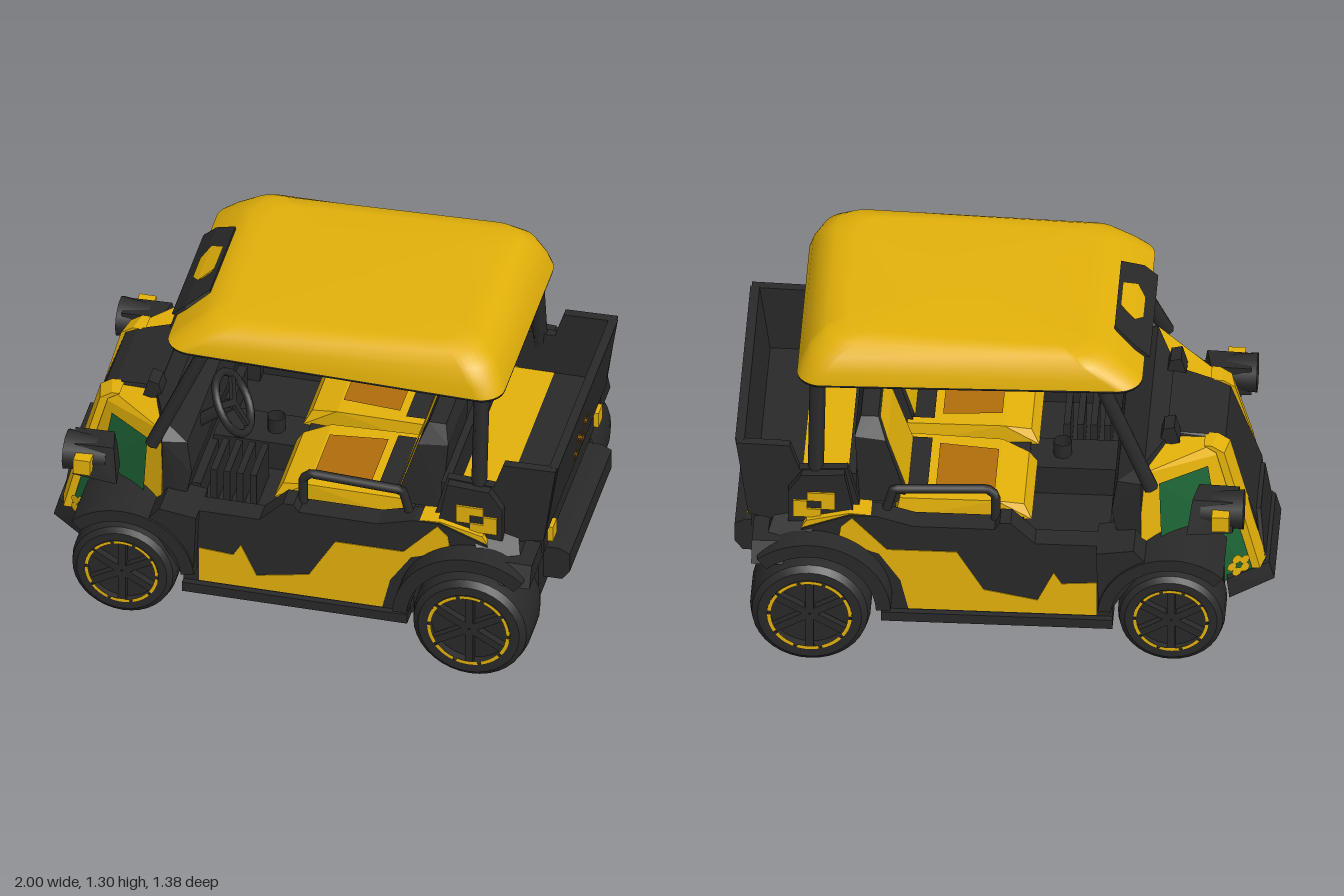
import * as THREE from 'three';
import { toCreasedNormals } from 'three/addons/utils/BufferGeometryUtils.js';
import { ConvexGeometry } from 'three/addons/geometries/ConvexGeometry.js';

const paint = (name, color) => new THREE.MeshStandardMaterial({ name, color, side: THREE.DoubleSide });

export function createModel() {
  const root = new THREE.Group();
  root.name = 'openCart';
  const dark = paint('charcoal', 0x292929), yellow = paint('yellow', 0xe3b10a);
  const green = paint('green', 0x1d6435), amber = paint('amber', 0xb06c0a);

  const V = (p) => new THREE.Vector3(...p);
  const add = (name, geo, mat, parent = root) => {
    const m = new THREE.Mesh(geo, mat);
    m.name = name;
    parent.add(m);
    return m;
  };
  const box = (name, mat, x0, x1, y0, y1, z0, z1) => {
    const m = add(name, new THREE.BoxGeometry(x1 - x0, y1 - y0, Math.abs(z1 - z0)), mat);
    m.position.set((x0 + x1) / 2, (y0 + y1) / 2, (z0 + z1) / 2);
    return m;
  };
  const hull = (name, mat, pts) => add(name, new ConvexGeometry(pts.map(V)), mat);
  // hull symmetric about z = 0
  const symHull = (name, mat, pts) => hull(name, mat, pts.flatMap(([x, y, z]) => [[x, y, z], [x, y, -z]]));
  const quad = (name, mat, a, b, c, d) => {
    const g = new THREE.BufferGeometry().setFromPoints([a, b, c, a, c, d].map(V));
    g.computeVertexNormals();
    return add(name, g, mat);
  };
  // outline in x,y pushed from z0 to z1
  const slab = (name, mat, pts, z0, z1) => {
    const s = new THREE.Shape(pts.map((p) => new THREE.Vector2(...p)));
    const m = add(name, new THREE.ExtrudeGeometry(s, { depth: Math.abs(z1 - z0), bevelEnabled: false }), mat);
    m.position.z = Math.min(z0, z1);
    return m;
  };
  const tube = (name, mat, pts, r, sides = 8) => {
    const path = new THREE.CurvePath();
    for (let i = 1; i < pts.length; i++) path.add(new THREE.LineCurve3(V(pts[i - 1]), V(pts[i])));
    return add(name, new THREE.TubeGeometry(path, (pts.length - 1) * 10, r, sides), mat);
  };
  const both = (fn) => [1, -1].forEach(fn);

  // wheels
  const wheel = (name, x, y, z, r, w, s) => {
    const g = new THREE.Group();
    g.name = name;
    const ri = r * 0.7, h = w / 2;
    const prof = [[ri * 0.95, -h], [r * 0.86, -h], [r * 0.96, -h * 0.85], [r, -h * 0.5], [r, h * 0.5],
      [r * 0.96, h * 0.85], [r * 0.86, h], [ri, h], [ri * 0.95, h * 0.55]].map((p) => new THREE.Vector2(...p));
    add('tyre', toCreasedNormals(new THREE.LatheGeometry(prof, 36), 0.6), dark, g).rotation.x = Math.PI / 2;
    add('rimDish', new THREE.CylinderGeometry(ri, ri, w * 0.7, 28), dark, g).rotation.x = Math.PI / 2;
    for (let i = 0; i < 10; i++) {
      const arc = new THREE.RingGeometry(ri * 0.91, ri, 5, 1, i * Math.PI / 5, Math.PI / 5 * 0.87);
      add('rimDash', arc, yellow, g).position.z = h + 0.004;
    }
    add('hub', new THREE.CylinderGeometry(0.035, 0.04, w * 0.9, 12), dark, g).rotation.x = Math.PI / 2;
    for (let i = 0; i < 6; i++) {
      const sp = add('spoke', new THREE.BoxGeometry(0.03, ri * 0.95, 0.03), dark, g), a = i * Math.PI / 3;
      sp.position.set(-Math.sin(a) * ri * 0.5, Math.cos(a) * ri * 0.5, h * 0.85);
      sp.rotation.z = a;
    }
    g.position.set(x, y, z * s);
    if (s < 0) g.rotation.y = Math.PI;
    root.add(g);
  };
  // fender arches
  const arch = (name, cx, cy, r0, r1, z0, z1, a0, a1) => {
    const s = new THREE.Shape();
    s.absarc(cx, cy, r1, a0, a1, false);
    s.absarc(cx, cy, r0, a1, a0, true);
    const g = new THREE.ExtrudeGeometry(s, { depth: Math.abs(z1 - z0), bevelEnabled: false, curveSegments: 14 });
    add(name, toCreasedNormals(g, 0.6), dark).position.z = Math.min(z0, z1);
  };
  both((s) => {
    wheel('frontWheel', -0.64, 0.217, 0.52, 0.2, 0.21, s);
    wheel('rearWheel', 0.7, 0.228, 0.555, 0.225, 0.265, s);
    arch('frontFender', -0.64, 0.215, 0.225, 0.275, s * 0.36, s * 0.62, 0.1, 2.35);
    arch('rearFender', 0.7, 0.225, 0.245, 0.3, s * 0.4, s * 0.655, 0.85, 3.1);
  });
  [-0.64, 0.7].forEach((x) => box('axle', dark, x - 0.04, x + 0.04, 0.18, 0.26, -0.45, 0.45));

  // chassis and floor
  box('chassis', dark, -0.82, 0.86, 0.13, 0.3, -0.36, 0.36);
  box('floorPan', dark, -0.42, 0.45, 0.14, 0.38, -0.52, 0.52);
  box('rearBody', dark, 0.42, 0.9, 0.2, 0.53, -0.41, 0.41);
  box('frontBody', dark, -0.8, -0.4, 0.2, 0.48, -0.37, 0.37);

  // side panels with painted swoosh
  const sideLine = [[-0.42, 0.15], [0.44, 0.15], [0.42, 0.3], [0.5, 0.46], [0.74, 0.49], [0.74, 0.53], [0.56, 0.6],
    [0.46, 0.6], [0.32, 0.56], [0.02, 0.56], [0, 0.59], [-0.04, 0.59], [-0.13, 0.5], [-0.42, 0.5]];
  const swoosh = [[-0.36, 0.18], [0.34, 0.18], [0.37, 0.31], [0.45, 0.43], [0.6, 0.48], [0.59, 0.55], [0.55, 0.59],
    [0.42, 0.45], [0.16, 0.45], [0.06, 0.28], [-0.14, 0.24], [-0.2, 0.37], [-0.23, 0.32], [-0.36, 0.33]];
  both((s) => {
    slab('sidePanel', dark, sideLine, s * 0.47, s * 0.56);
    slab('sideSwoosh', yellow, swoosh, s * 0.56, s * 0.563);
    box('sill', dark, -0.42, 0.44, 0.135, 0.175, s * 0.46, s * 0.585);
    slab('rearShoulder', yellow, [[0.48, 0.6], [0.56, 0.605], [0.72, 0.565], [0.74, 0.53], [0.62, 0.51]], s * 0.46, s * 0.553);
    hull('shoulderTail', dark, [[0.69, 0.45, s * 0.4], [0.69, 0.575, s * 0.5], [0.69, 0.54, s * 0.556], [0.73, 0.48, s * 0.62],
      [0.88, 0.46, s * 0.6], [0.84, 0.55, s * 0.48], [0.88, 0.45, s * 0.4]]);
    slab('frontSideBlock', dark, [[-0.55, 0.46], [-0.42, 0.25], [-0.37, 0.25], [-0.36, 0.5], [-0.5, 0.52]], s * 0.42, s * 0.61);
  });

  // nose
  symHull('noseShell', yellow, [[-0.86, 0.42, 0.25], [-0.8, 0.7, 0.23], [-0.76, 0.735, 0.23], [-0.52, 0.765, 0.46], [-0.52, 0.43, 0.5]]);
  symHull('lowerNose', green, [[-0.95, 0.15, 0.24], [-0.88, 0.44, 0.24], [-0.76, 0.44, 0.36], [-0.8, 0.18, 0.33]]);
  symHull('grille', dark, [[-0.96, 0.14, 0.19], [-0.93, 0.38, 0.19], [-0.89, 0.46, 0.19], [-0.815, 0.72, 0.165],
    [-0.77, 0.742, 0.165], [-0.6, 0.775, 0.2], [-0.6, 0.4, 0.2], [-0.8, 0.14, 0.2]]);
  symHull('frontBumper', dark, [[-1, 0.115, 0.21], [-0.98, 0.19, 0.21], [-0.84, 0.115, 0.34], [-0.83, 0.2, 0.34]]);
  symHull('bumperLip', dark, [[-0.97, 0.15, 0.22], [-0.945, 0.385, 0.14], [-0.9, 0.385, 0.14], [-0.9, 0.15, 0.23]]);
  both((s) => {
    const cheek = [[-0.845, 0.47, 0.275], [-0.8, 0.7, 0.235], [-0.52, 0.755, 0.485], [-0.52, 0.47, 0.51]];
    const at = (u, v) => cheek[0].map((_, i) => (
      (1 - v) * ((1 - u) * cheek[0][i] + u * cheek[3][i]) + v * ((1 - u) * cheek[1][i] + u * cheek[2][i])) * (i === 2 ? s : 1)
      + (i === 2 ? s * 0.015 : 0));
    quad('greenCheek', green, at(0.16, 0.06), at(0.16, 0.92), at(0.77, 0.9), at(0.77, 0.06));
    // raised yellow frame around the grille
    const bar = (name, pts) => hull(name, yellow, pts.flatMap(([x, y, z0, z1]) => [[x - 0.018, y, s * z0], [x + 0.03, y, s * z0],
      [x, y, s * z1], [x + 0.03, y, s * z1]]));
    bar('lowerNoseBar', [[-0.95, 0.2, 0.19, 0.265], [-0.885, 0.46, 0.18, 0.265]]);
    bar('noseBar', [[-0.885, 0.46, 0.18, 0.265], [-0.815, 0.715, 0.16, 0.245]]);
    bar('hoodBar', [[-0.815, 0.715, 0.16, 0.245], [-0.77, 0.745, 0.16, 0.245]]);
    // blossom spots on the lower nose
    for (let i = 0; i < 5; i++) {
      const a = i * Math.PI * 0.4;
      const d = add('petal', new THREE.CircleGeometry(0.02, 8), yellow);
      d.position.set(-0.875 + Math.cos(a) * 0.026, 0.25 + Math.sin(a) * 0.03, s * (0.315 + Math.cos(a) * 0.015));
      d.rotation.y = s * -0.53;
    }
    // headlights
    const lamp = add('headlight', new THREE.CylinderGeometry(0.078, 0.062, 0.16, 10), dark);
    lamp.position.set(-0.82, 0.59, s * 0.42);
    lamp.rotation.z = Math.PI / 2;
    hull('headlightPod', dark, [[-0.88, 0.53, 0.49], [-0.88, 0.65, 0.46], [-0.73, 0.655, 0.46], [-0.71, 0.52, 0.5]]
      .flatMap(([x, y, z]) => [[x, y, s * 0.36], [x + 0.02, y, s * z]]));
    box('turnLamp', yellow, -0.85, -0.785, 0.56, 0.625, s * 0.45, s * 0.525);
  });

  // dashboard and steering
  symHull('dashboard', dark, [[-0.62, 0.765, 0.18], [-0.53, 0.79, 0.42], [-0.43, 0.73, 0.46], [-0.41, 0.6, 0.47],
    [-0.44, 0.45, 0.47], [-0.52, 0.45, 0.47], [-0.52, 0.74, 0.49]]);
  both((s) => hull('cowlPod', dark, [[-0.65, 0.76], [-0.63, 0.83], [-0.59, 0.82], [-0.57, 0.74]]
    .flatMap(([x, y]) => [[x, y, s * 0.17], [x, y, s * 0.25]])));
  tube('steeringColumn', dark, [[-0.46, 0.66, 0.25], [-0.31, 0.78, 0.25]], 0.025);
  const steer = new THREE.Group();
  steer.name = 'steeringWheel';
  add('steeringRim', new THREE.TorusGeometry(0.12, 0.016, 8, 28), dark, steer);
  for (let i = 0; i < 3; i++) {
    const b = add('steeringSpoke', new THREE.BoxGeometry(0.025, 0.12, 0.015), dark, steer), a = i * Math.PI * 2 / 3 + Math.PI;
    b.position.set(-Math.sin(a) * 0.06, Math.cos(a) * 0.06, 0);
    b.rotation.z = a;
  }
  steer.position.set(-0.305, 0.785, 0.25);
  steer.rotation.set(0, Math.PI / 2, 0);
  steer.rotateX(-0.53);
  root.add(steer);
  box('console', dark, -0.42, -0.05, 0.36, 0.5, -0.09, 0.09);
  tube('shifter', dark, [[-0.2, 0.48, 0], [-0.2, 0.56, 0]], 0.035);
  for (let i = 0; i < 4; i++) box('pedal', dark, -0.37 + i * 0.05, -0.345 + i * 0.05, 0.38, 0.53, 0.14, 0.34);

  // seats and rails
  box('seatBase', dark, -0.08, 0.5, 0.3, 0.51, -0.47, 0.47);
  both((s) => {
    const at = (pts) => pts.flatMap(([x, y, h]) => [[x, y, s * 0.23 - h], [x, y, s * 0.23 + h]]);
    const plate = (name, mat, [xa, ya, ha], [xb, yb, hb]) => quad(name, mat, [xa, ya, s * 0.23 - ha],
      [xa, ya, s * 0.23 + ha], [xb, yb, s * 0.23 + hb], [xb, yb, s * 0.23 - hb]);
    hull('seatCushion', yellow, at([[-0.11, 0.5, 0.18], [-0.08, 0.555, 0.16], [0.02, 0.587, 0.19], [0.38, 0.593, 0.2], [0.4, 0.5, 0.21]]));
    plate('cushionInlay', amber, [0.03, 0.593, 0.12], [0.25, 0.596, 0.14]);
    plate('cushionHem', dark, [0.28, 0.597, 0.17], [0.36, 0.598, 0.17]);
    hull('seatBack', dark, at([[0.35, 0.56, 0.18], [0.53, 0.56, 0.18], [0.435, 0.83, 0.165], [0.465, 0.9, 0.11],
      [0.53, 0.9, 0.11], [0.55, 0.84, 0.16]]));
    plate('seatBackPad', yellow, [0.352, 0.6, 0.165], [0.428, 0.83, 0.155]);
    plate('seatBackPadTop', yellow, [0.428, 0.83, 0.155], [0.458, 0.898, 0.105]);
    tube('armRail', dark, [[0.02, 0.53, s * 0.49], [0.02, 0.67, s * 0.49], [0.05, 0.695, s * 0.49], [0.4, 0.68, s * 0.49], [0.43, 0.57, s * 0.49]], 0.018);
  });

  // cargo box
  both((s) => {
    slab('cargoSide', dark, [[0.52, 0.58], [0.57, 0.77], [0.75, 0.76], [0.785, 0.865], [0.985, 0.87], [0.94, 0.545], [0.74, 0.5]], s * 0.46, s * 0.495);
    slab('cargoShoulder', dark, [[0.54, 0.56], [0.58, 0.765], [0.74, 0.755], [0.79, 0.68], [0.79, 0.54]], s * 0.49, s * 0.53);
    // checks on the side
    [[0, 1], [1, 0], [1, 2], [2, 1], [2, 0], [0, 2]].forEach(([c, r]) => {
      const x = 0.615 + c * 0.052, y = 0.57 + r * 0.037;
      box('sideCheck', yellow, x, x + 0.052, y, y + 0.037, s * 0.53, s * 0.538);
    });
    box('tailLamp', yellow, 0.925, 0.95, 0.465, 0.53, s * 0.36 - 0.03, s * 0.36 + 0.03);
  });
  symHull('tailgate', dark, [[0.91, 0.545, 0.47], [0.94, 0.545, 0.47], [0.955, 0.87, 0.47], [0.99, 0.87, 0.47]]);
  box('cargoFloor', dark, 0.75, 0.93, 0.56, 0.59, -0.46, 0.46);
  box('cargoMat', yellow, 0.55, 0.75, 0.56, 0.59, -0.46, 0.46);
  box('cargoBulkhead', dark, 0.54, 0.57, 0.5, 0.72, -0.46, 0.46);
  // checks on the tailgate
  for (let r = 0; r < 4; r++) for (let c = 0; c < 4; c++) {
    if ((r + c) % 2) continue;
    const y = 0.585 + r * 0.042, z = -0.1 + c * 0.052, x = (h) => 0.944 + (h - 0.545) * 0.154;
    quad('tailCheck', amber, [x(y), y, z], [x(y), y, z + 0.052], [x(y + 0.042), y + 0.042, z + 0.052], [x(y + 0.042), y + 0.042, z]);
  }

  // rear end
  box('rearDeck', dark, 0.8, 0.93, 0.45, 0.53, -0.45, 0.45);
  symHull('rearCrossMember', dark, [[0.8, 0.42, 0.64], [0.92, 0.42, 0.64], [0.8, 0.5, 0.6], [0.92, 0.5, 0.6]]);
  symHull('rearBumper', dark, [[0.86, 0.25, 0.33], [0.97, 0.25, 0.33], [1, 0.29, 0.33], [1, 0.37, 0.33], [0.96, 0.39, 0.33], [0.86, 0.39, 0.33]]);

  // roof posts and frame
  const post = (name, a, b, r) => tube(name, dark, [a, b], r, 6);
  both((s) => {
    post('frontPost', [-0.56, 0.72, s * 0.485], [-0.36, 1.17, s * 0.42], 0.028);
    post('rearPost', [0.69, 0.7, s * 0.485], [0.685, 1.16, s * 0.415], 0.03);
    post('roofRail', [-0.38, 1.165, s * 0.42], [0.68, 1.16, s * 0.42], 0.02);
  });
  post('frontRail', [-0.38, 1.165, -0.42], [-0.38, 1.165, 0.42], 0.022);
  post('rearRail', [0.69, 1.125, -0.415], [0.69, 1.125, 0.415], 0.022);

  // roof: stacked rounded rectangles [xFront, xRear, halfWidth, corner, yFront, yRear]
  const stack = (name, mat, rings, cap) => {
    const N = 40, pos = [], idx = [];
    rings.forEach(([x0, x1, w, c, yf, yr]) => {
      for (let i = 0; i < N; i++) {
        const q = Math.floor(i / 10), a = (q + (i % 10) / 9) * Math.PI / 2;
        const cx = q === 0 || q === 3 ? x1 - c : x0 + c, cz = q < 2 ? w - c : c - w;
        const x = cx + Math.cos(a) * c, z = cz + Math.sin(a) * c;
        pos.push(x, yf + (yr - yf) * (x - x0) / (x1 - x0), z);
      }
    });
    for (let k = 0; k + 1 < rings.length; k++) for (let i = 0; i < N; i++) {
      const a = k * N + i, b = k * N + (i + 1) % N;
      idx.push(a, a + N, b, b, a + N, b + N);
    }
    if (cap) {
      const [x0, x1, , , yf, yr] = rings.at(-1), o = (rings.length - 1) * N;
      pos.push((x0 + x1) / 2, (yf + yr) / 2 + 0.003, 0);
      for (let i = 0; i < N; i++) idx.push(o + i, rings.length * N, o + (i + 1) % N);
    }
    const g = new THREE.BufferGeometry();
    g.setAttribute('position', new THREE.Float32BufferAttribute(pos, 3));
    g.setIndex(idx);
    g.computeVertexNormals();
    return add(name, g, mat);
  };
  stack('roofShell', yellow, [[-0.52, 0.765, 0.468, 0.09, 1.155, 1.13], [-0.48, 0.75, 0.463, 0.1, 1.19, 1.18],
    [-0.41, 0.715, 0.447, 0.11, 1.24, 1.25], [-0.36, 0.66, 0.41, 0.11, 1.262, 1.295], [-0.3, 0.58, 0.35, 0.1, 1.27, 1.308]], true);
  stack('roofTrim', dark, [[-0.48, 0.735, 0.44, 0.07, 1.145, 1.12], [-0.518, 0.763, 0.466, 0.09, 1.145, 1.12], [-0.518, 0.763, 0.466, 0.09, 1.155, 1.13]], false);
  // dark brow with a lamp patch
  symHull('roofBrow', dark, [[-0.54, 1.155, 0.25], [-0.49, 1.2, 0.25], [-0.405, 1.256, 0.2], [-0.4, 1.2, 0.2], [-0.45, 1.15, 0.25]]);
  symHull('browPatch', yellow, [[-0.505, 1.195, 0.06], [-0.475, 1.221, 0.11], [-0.42, 1.257, 0.07], [-0.44, 1.22, 0.07]]);
  return root;
}
